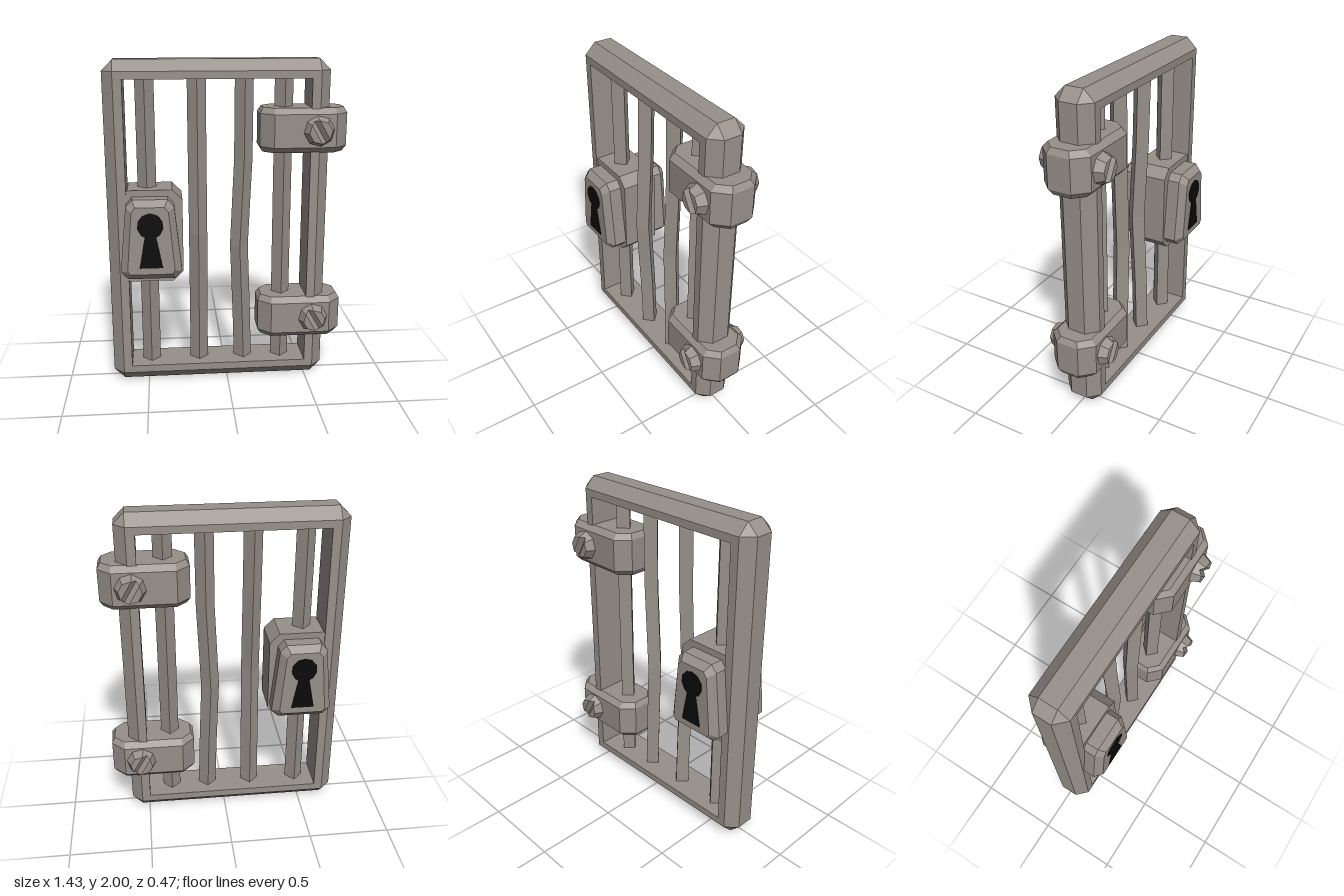
import * as THREE from 'three';

// Flat-shaded geometry from planar polygons (counter-clockwise from outside)
function facets(polys) {
  const pos = [];
  for (const p of polys)
    for (let i = 1; i < p.length - 1; i++) pos.push(...p[0], ...p[i], ...p[i + 1]);
  const g = new THREE.BufferGeometry();
  g.setAttribute('position', new THREE.Float32BufferAttribute(pos, 3));
  g.computeVertexNormals();
  return g;
}

// Closed solid through rings that run counter-clockwise seen from the last ring's end
function loft(rings) {
  const polys = [[...rings[0]].reverse(), rings[rings.length - 1]];
  for (let k = 0; k < rings.length - 1; k++) {
    const a = rings[k], b = rings[k + 1];
    a.forEach((_, i) => {
      const j = (i + 1) % a.length;
      polys.push([a[i], a[j], b[j], b[i]]);
    });
  }
  return facets(polys);
}

// Rectangle with cut corners, counter-clockwise
function cutRect(hx, hy, c) {
  return [[hx, -hy + c], [hx, hy - c], [hx - c, hy], [-hx + c, hy],
    [-hx, hy - c], [-hx, -hy + c], [-hx + c, -hy], [hx - c, -hy]];
}

// Chamfered rectangular frame with a square-edged opening
function frameGeometry() {
  const cx = -0.055, hx = 0.665, hy = 1, c = 0.065, zo = 0.055, zf = 0.12;
  const out = cutRect(hx, hy, c).map(([x, y]) => [x + cx, y + 1]);
  const signs = [[1, -1], [1, 1], [-1, 1], [-1, -1]];
  const face = signs.map(([a, b]) => [cx + a * (hx - c), 1 + b * (hy - c)]);
  const hole = signs.map(([a, b]) => [cx + a * 0.548, 1 + b * 0.89]);
  const at = (p, z) => [p[0], p[1], z];
  const polys = [];
  for (let i = 0; i < 4; i++) {
    const j = (i + 1) % 4;
    const a = out[2 * i], b = out[2 * i + 1], n = out[(2 * i + 2) % 8];
    polys.push([at(a, -zo), at(b, -zo), at(b, zo), at(a, zo)]);
    polys.push([at(b, -zo), at(n, -zo), at(n, zo), at(b, zo)]);
    polys.push([at(hole[j], -zf), at(hole[i], -zf), at(hole[i], zf), at(hole[j], zf)]);
    for (const s of [1, -1]) {
      const side = [
        [at(a, s * zo), at(b, s * zo), at(face[j], s * zf), at(face[i], s * zf)],
        [at(b, s * zo), at(n, s * zo), at(face[j], s * zf)],
        [at(face[i], s * zf), at(face[j], s * zf), at(hole[j], s * zf), at(hole[i], s * zf)]];
      for (const p of side) polys.push(s > 0 ? p : p.reverse());
    }
  }
  return facets(polys);
}

// Diamond-section bar along [x, y, z] centre points
function barGeometry(path) {
  const r = 0.056;
  return loft(path.map(([x, y, z]) => [[x + r, y, z], [x, y, z - r], [x - r, y, z], [x, y, z + r]]));
}

// Eight-sided tapered screw head with a V groove across its face
function screwGeometry() {
  const ring = (r, z) => Array.from({ length: 8 }, (_, i) => {
    const a = (i - 0.5) * Math.PI / 4;
    return [r * Math.cos(a), r * Math.sin(a), z];
  });
  const b = ring(0.094, 0), t = ring(0.068, 0.06);
  const e = 0.072, n0 = [e, 0, 0.035], n4 = [-e, 0, 0.035];
  const polys = [
    [t[1], t[2], t[3], t[4]], [t[5], t[6], t[7], t[0]],
    [n4, n0, t[1], t[4]], [n0, n4, t[5], t[0]],
    [n0, t[0], b[0], b[1], t[1]], [n4, t[4], b[4], b[5], t[5]]];
  for (const i of [1, 2, 3, 5, 6, 7]) {
    const j = (i + 1) % 8;
    polys.push([b[i], b[j], t[j], t[i]]);
  }
  return facets(polys);
}

// Tapered lock cover with a chamfered face
function coverGeometry() {
  const outline = (half, z) => [
    ...half.map(([x, y]) => [x, y, z]),
    ...[...half].reverse().map(([x, y]) => [-x, y, z])];
  const outer = [[0.14, 0.72], [0.183, 0.765], [0.142, 1.165], [0.105, 1.207]];
  const inner = [[0.125, 0.76], [0.14, 0.783], [0.108, 1.14], [0.085, 1.17]];
  return loft([outline(outer, 0.08), outline(outer, 0.19), outline(inner, 0.232)]);
}

// Keyhole plate: faceted round head over a flared slot
function keyholeGeometry() {
  const s = new THREE.Shape();
  s.moveTo(-0.07, 0.8);
  s.lineTo(0.07, 0.8);
  s.lineTo(0.034, 0.99);
  for (let i = 0; i <= 8; i++) {
    const a = -Math.PI / 4 + i * Math.PI * 1.5 / 8;
    s.lineTo(0.078 * Math.cos(a), 1.058 + 0.078 * Math.sin(a));
  }
  s.lineTo(-0.034, 0.99);
  return new THREE.ExtrudeGeometry(s, { depth: 0.005, bevelEnabled: false });
}

export function createModel() {
  const metal = new THREE.MeshStandardMaterial({ color: 0x97908a });
  metal.name = 'weatheredMetal';
  const dark = new THREE.MeshStandardMaterial({ color: 0x0a0a0a });
  dark.name = 'keyholeBlack';

  const model = new THREE.Group();
  model.name = 'barredGate';
  const add = (parent, name, geometry, material = metal) => {
    const m = new THREE.Mesh(geometry, material);
    m.name = name;
    parent.add(m);
    return m;
  };

  add(model, 'frame', frameGeometry());

  // Bars: the two middle ones are bent
  const bars = [
    [[-0.48, 0.08, 0], [-0.48, 1.92, 0]],
    [[-0.175, 0.08, 0], [-0.175, 0.45, 0.01], [-0.175, 0.95, 0.035], [-0.175, 1.45, 0.01], [-0.175, 1.92, 0]],
    [[0.108, 0.08, 0], [0.098, 0.42, 0], [0.081, 0.86, 0], [0.105, 1.4, 0], [0.108, 1.92, 0]],
    [[0.345, 0.08, 0], [0.345, 1.92, 0]]];
  bars.forEach((path, i) => add(model, 'bar' + (i + 1), barGeometry(path)));

  // Hinge clamps with a screw on both faces
  const screw = screwGeometry();
  const clampRing = (hx, hz, c, y) => cutRect(hx, hz, c).map(([x, z]) => [x, y, -z]);
  const clamp = loft([
    clampRing(0.24, 0.115, 0.06, -0.132), clampRing(0.26, 0.148, 0.077, -0.098),
    clampRing(0.26, 0.148, 0.077, 0.098), clampRing(0.24, 0.115, 0.06, 0.132)]);
  for (const [label, y] of [['upper', 1.588], ['lower', 0.412]]) {
    const hinge = new THREE.Group();
    hinge.name = label + 'Hinge';
    hinge.position.set(0.455, y, 0);
    add(hinge, 'clamp', clamp);
    for (const s of [1, -1]) {
      const m = add(hinge, s > 0 ? 'frontScrew' : 'backScrew', screw);
      m.position.set(0.08, 0, s * 0.142);
      m.rotation.z = -Math.PI / 3;
      m.scale.z = s;
    }
    model.add(hinge);
  }

  // Lock: inner box, and a cover with keyhole on both faces
  const lock = new THREE.Group();
  lock.name = 'lock';
  lock.position.x = -0.463;
  const boxRing = z => cutRect(0.193, 0.285, 0.06).map(([x, y]) => [x, y + 0.96, z]);
  add(lock, 'lockBox', loft([boxRing(-0.112), boxRing(0.112)]));
  const cover = coverGeometry(), keyhole = keyholeGeometry();
  for (const s of [1, -1]) {
    const side = new THREE.Group();
    side.name = s > 0 ? 'frontCover' : 'backCover';
    side.scale.z = s;
    add(side, 'cover', cover);
    add(side, 'keyhole', keyhole, dark).position.z = 0.23;
    lock.add(side);
  }
  model.add(lock);
  return model;
}
